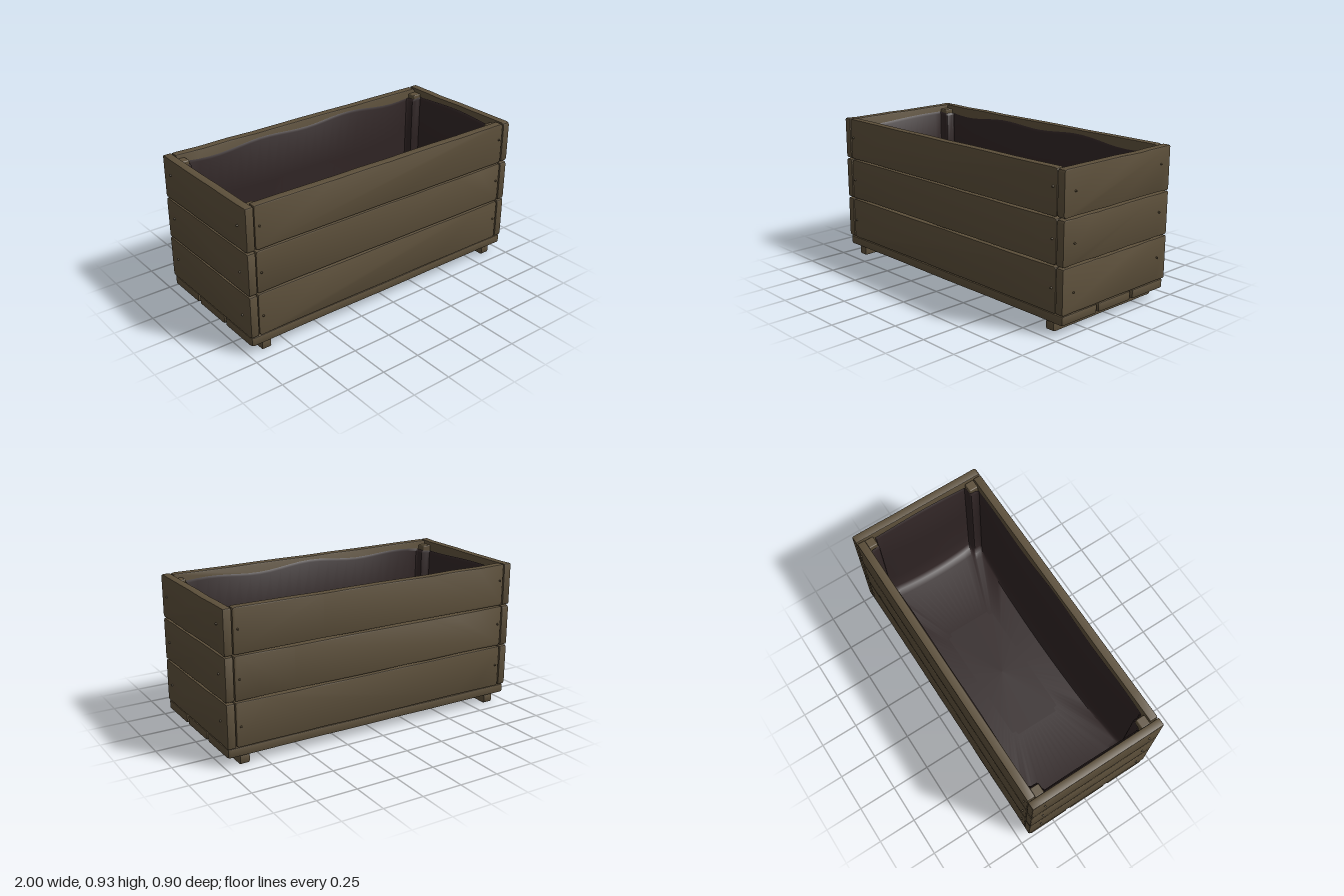
import * as THREE from 'three';
import { toCreasedNormals } from 'three/addons/utils/BufferGeometryUtils.js';
import { RoundedBoxGeometry } from 'three/addons/geometries/RoundedBoxGeometry.js';

export function createModel() {
  const group = new THREE.Group();
  const wood = new THREE.MeshStandardMaterial({ color: 0x5c4f3a });
  const liner = new THREE.MeshStandardMaterial({ color: 0x2f2424, side: THREE.DoubleSide });

  let seed = 7;
  const rand = () => (seed = (seed * 16807) % 2147483647) / 2147483647;

  const add = (name, geometry, material, x, y, z) => {
    const mesh = new THREE.Mesh(geometry, material);
    mesh.name = name;
    mesh.position.set(x, y, z);
    group.add(mesh);
    return mesh;
  };

  // Worn plank: clipped corners, slightly uneven long edges, softened rim
  const plank = (w, h, d, wear = 0.004) => {
    const b = 0.007, n = 10, pts = [];
    for (const s of [-1, 1]) {
      const c = [0.008 + rand() * 0.012, 0.008 + rand() * 0.012];
      pts.push([s * -w / 2, s * (h / 2 - c[0])].map((v, i) => (i ? s * (h / 2 - c[0]) * 1 : v)));
      pts.push([s * (-w / 2 + c[0] * 0.3), s * (h / 2 - c[0] * 0.3)]);
      pts.push([s * (-w / 2 + c[0]), s * h / 2]);
      for (let i = 1; i < n; i++) {
        pts.push([s * (-w / 2 + (w * i) / n), s * (h / 2 - rand() * wear)]);
      }
      pts.push([s * (w / 2 - c[1]), s * h / 2]);
      pts.push([s * (w / 2 - c[1] * 0.3), s * (h / 2 - c[1] * 0.3)]);
      pts.push([s * w / 2, s * (h / 2 - c[1])]);
    }
    const shape = new THREE.Shape(pts.map(([x, y]) => new THREE.Vector2(x, y)));
    const geometry = new THREE.ExtrudeGeometry(shape, {
      depth: d - 2 * b, bevelThickness: b, bevelSize: b, bevelOffset: -b, bevelSegments: 2,
    });
    geometry.translate(0, 0, -d / 2 + b);
    return toCreasedNormals(geometry, 0.7);
  };

  // Three rows of wall boards, the end boards covering the long boards' ends
  const rows = [[0.118, 0.387], [0.393, 0.657], [0.662, 0.93]];
  const screw = new THREE.CylinderGeometry(0.005, 0.007, 0.012, 8).rotateX(Math.PI / 2);
  rows.forEach(([y0, y1], row) => {
    const y = (y0 + y1) / 2, h = y1 - y0;
    for (const s of [1, -1]) {
      add(s > 0 ? 'frontBoard' : 'backBoard', plank(1.868, h, 0.052), wood, 0, y, s * 0.415);
      add(s > 0 ? 'leftEndBoard' : 'rightEndBoard', plank(0.888, h, 0.052), wood, s * 0.964, y, 0)
        .rotation.y = Math.PI / 2;
      // Screw heads
      for (const t of [1, -1]) {
        const high = y + [0.0, 0.005, 0.02][row];
        add('longBoardScrew', screw, wood, t * 0.905, high + s * t * 0.01, s * 0.444)
          .rotation.y = s > 0 ? 0 : Math.PI;
        add('endBoardScrew', screw, wood, s * 0.993, high - t * 0.013, t * 0.36)
          .rotation.y = s * Math.PI / 2;
      }
    }
  });

  // Floor planks
  for (const z of [0.298, 0.002, -0.294]) {
    add('floorPlank', plank(1.976, 0.284, 0.054), wood, 0, 0.089, z).rotation.x = Math.PI / 2;
  }

  // Feet and corner posts
  for (const s of [1, -1]) {
    add('foot', plank(0.844, 0.064, 0.062, 0.002), wood, s * 0.878, 0.032, 0).rotation.y = Math.PI / 2;
    for (const t of [1, -1]) {
      add('cornerPost', new RoundedBoxGeometry(0.062, 0.79, 0.06, 2, 0.007), wood, s * 0.907, 0.51, t * 0.361);
    }
  }

  // Liner bag: rings follow the walls, step round the posts and close at the floor
  const quarter = [];
  for (let i = 0; i <= 6; i++) quarter.push([0.93, (0.32 * i) / 6]);
  quarter.push([0.915, 0.327], [0.88, 0.328], [0.872, 0.335], [0.87, 0.375]);
  for (let i = 12; i >= 0; i--) quarter.push([(0.86 * i) / 12, 0.386]);
  const outline = [];
  for (const [sx, sz] of [[1, 1], [-1, 1], [-1, -1], [1, -1]]) {
    const part = quarter.map(([x, z]) => [x * sx, z * sz]);
    if (sx * sz < 0) part.reverse();
    outline.push(...part.slice(0, -1));
  }
  // Each ring: height, scale, inward bow of the sides
  const rings = [
    [0.885, 1, 0], [0.87, 0.99, 0.004], [0.6, 0.985, 0.02], [0.3, 0.98, 0.035],
    [0.17, 0.975, 0.045], [0.14, 0.95, 0.045], [0.13, 0.9, 0.03], [0.13, 0.45, 0], [0.13, 0, 0],
  ];
  const position = [], index = [], n = outline.length;
  rings.forEach(([y, k, bow], r) => {
    outline.forEach(([x, z], i) => {
      const alongX = Math.abs(z) > 0.38, alongZ = Math.abs(x) > 0.925;
      const bx = alongZ ? bow * 0.5 * (1 - (z / 0.33) ** 2) : 0;
      const bz = alongX ? bow * (1 - (x / 0.87) ** 2) : 0;
      const sag = r < 2 ? 0.012 * Math.sin(x * 9 + z * 4) - 0.008 * Math.cos(x * 4 - z * 7) : 0;
      position.push((x - Math.sign(x) * bx) * k, y + sag, (z - Math.sign(z) * bz) * k);
      if (r) {
        const j = (i + 1) % n, a = (r - 1) * n, b = r * n;
        index.push(a + i, a + j, b + i, a + j, b + j, b + i);
      }
    });
  });
  const bag = new THREE.BufferGeometry();
  bag.setAttribute('position', new THREE.Float32BufferAttribute(position, 3));
  bag.setIndex(index);
  add('liner', toCreasedNormals(bag, 0.8), liner, 0, 0, 0);

  return group;
}
